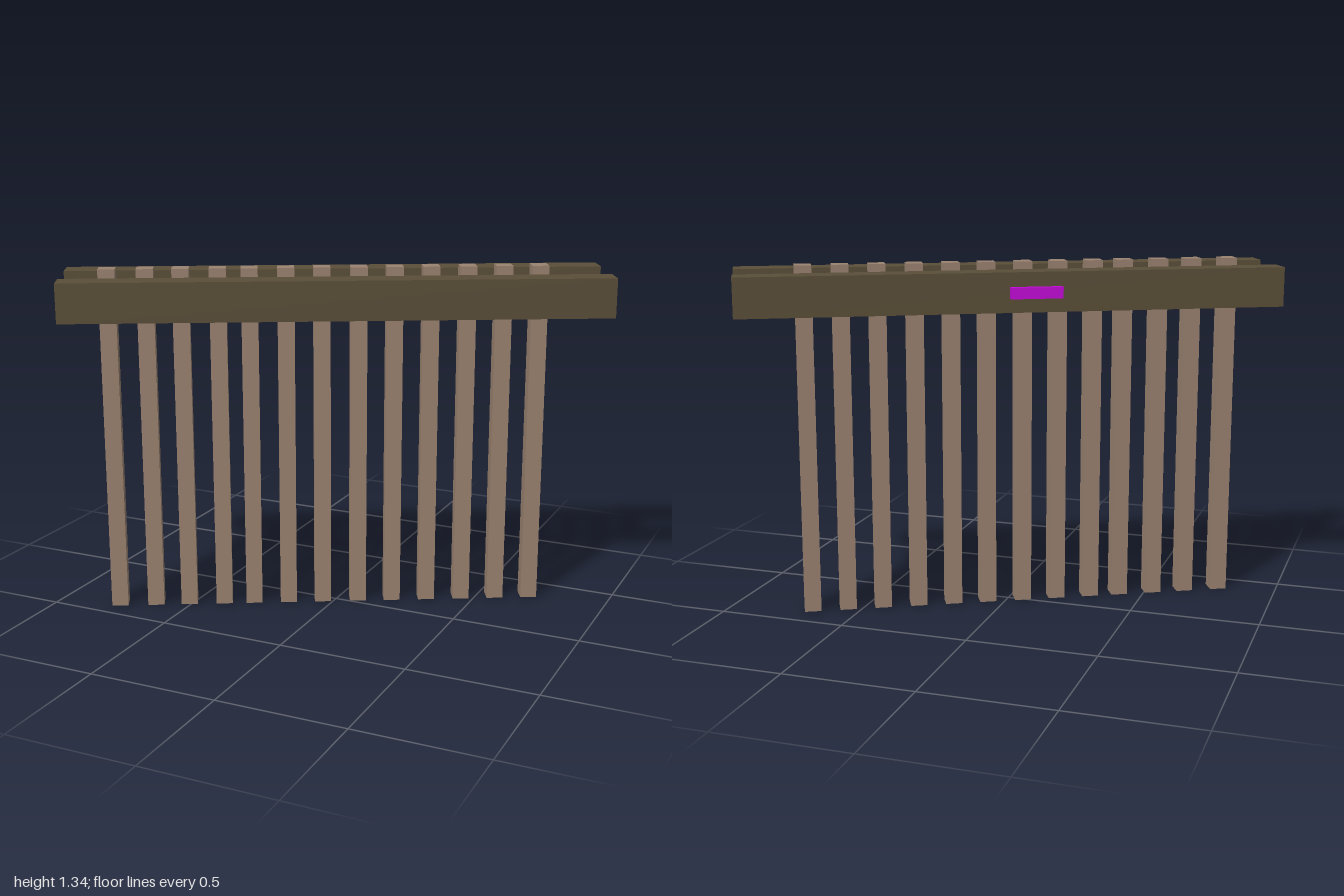
import * as THREE from 'three';

export function createModel() {
  const model = new THREE.Group();
  model.name = 'postFrame';

  const mat = (color) => new THREE.MeshStandardMaterial({ color, flatShading: true });
  const beamMat = mat(0x5a4e38);
  const postMat = mat(0x9a8270);
  const plateMat = mat(0xc408d8);

  // The whole row runs diagonally across the ground
  const row = new THREE.Group();
  row.name = 'diagonalRow';
  row.rotation.y = THREE.MathUtils.degToRad(27.7);
  model.add(row);

  function box(name, material, size, position) {
    const mesh = new THREE.Mesh(new THREE.BoxGeometry(...size), material);
    mesh.name = name;
    mesh.position.set(...position);
    row.add(mesh);
  }

  // Two horizontal beams, one on each side of the posts
  box('frontBeam', beamMat, [2.06, 0.15, 0.1], [0, 1.245, 0.138]);
  box('backBeam', beamMat, [2.06, 0.15, 0.1], [0, 1.245, -0.138]);

  // Slightly uneven row of square posts
  const postPositions = [-0.859, -0.717, -0.585, -0.446, -0.327, -0.19, -0.054,
    0.086, 0.222, 0.36, 0.5, 0.637, 0.774];
  postPositions.forEach((x, i) =>
    box(`post${i + 1}`, postMat, [0.064, 1.343, 0.064], [x, 0.6715, -0.005]));

  // Small plate fixed to the outside of the back beam
  box('plate', plateMat, [0.195, 0.042, 0.04], [-0.073, 1.245, -0.197]);

  return model;
}
